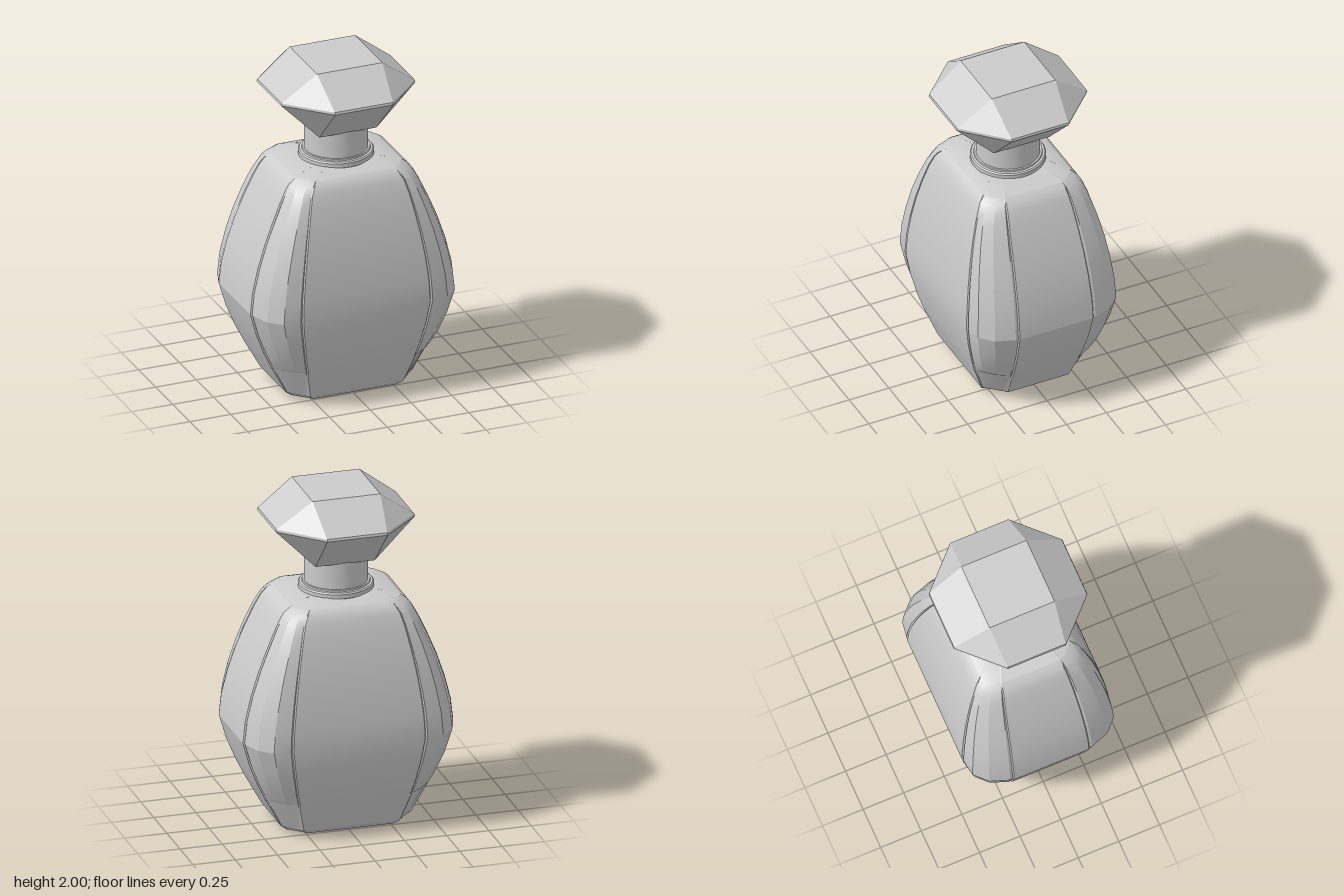
import * as THREE from 'three';
import { toCreasedNormals } from 'three/addons/utils/BufferGeometryUtils.js';
import { ConvexGeometry } from 'three/addons/geometries/ConvexGeometry.js';

const grey = new THREE.MeshStandardMaterial({ color: 0xcccccc, side: THREE.DoubleSide });

function add(group, name, geometry) {
  const mesh = new THREE.Mesh(geometry, grey);
  mesh.name = name;
  group.add(mesh);
}

// One horizontal section: four flat faces joined by bulging corner panels.
// X, Z: half width and depth; bulge: 0 flat chamfer, 1 full corner panel.
function section([y, X, Z, bulge]) {
  // half widths of the front and side faces follow the size of the section
  const w = Math.min(0.72 * X, 0.105 + 0.455 * X);
  const s = Math.min(0.66 * Z, 0.09 + 0.31 * Z);
  // seams beside the corner panels
  const groove = y > 0.22 && y < 1.35 ? 0.009 : 0;
  const mix = (flat, full) => flat + (full - flat) * bulge;
  const at = (u, v) => [w + (X - w) * u, s + (Z - s) * v];
  const quadrant = [
    [X, s],
    [X - groove, s + 0.006],
    at(mix(0.94, 0.97), mix(0.06, 0.1)),
    at(mix(0.67, 0.8), mix(0.33, 0.6)),
    at(mix(0.33, 0.48), mix(0.67, 0.92)),
    at(mix(0.06, 0.07), mix(0.94, 0.985)),
    [w + 0.006, Z - groove],
    [w, Z],
  ];
  const ring = [];
  for (const [sx, sz] of [[1, 1], [-1, 1], [-1, -1], [1, -1]]) {
    const part = sx * sz > 0 ? quadrant : [...quadrant].reverse();
    for (const [x, z] of part) ring.push([sx * x, y, sz * z]);
  }
  return ring;
}

// Skin a stack of rings from bottom to top
function loft(rings) {
  const n = rings[0].length, index = [];
  for (let i = 0; i < rings.length - 1; i++) {
    for (let j = 0; j < n; j++) {
      const a = i * n + j, b = i * n + (j + 1) % n;
      index.push(a, a + n, b, b, a + n, b + n);
    }
  }
  const geometry = new THREE.BufferGeometry();
  geometry.setAttribute('position', new THREE.Float32BufferAttribute(rings.flat(2), 3));
  geometry.setIndex(index);
  return toCreasedNormals(geometry, 0.3);
}

function bottleBody() {
  // recessed foot and lower slopes: y, X, Z, bulge
  const base = [
    [0.012, 0, 0, 0],
    [0.012, 0.26, 0.2, 0],
    [0, 0.27, 0.21, 0],
    [0.015, 0.345, 0.27, 0],
    [0.045, 0.385, 0.305, 0],
    [0.21, 0.475, 0.367, 0.25],
  ];
  // flanks with the corner panels
  const flanks = [
    [0.225, 0.483, 0.373, 0.25],
    [0.24, 0.49, 0.378, 0.5],
    [0.32, 0.53, 0.402, 0.75],
    [0.45, 0.582, 0.432, 0.92],
    [0.59, 0.622, 0.453, 1],
    [0.72, 0.608, 0.446, 1],
    [0.86, 0.574, 0.431, 1],
    [1, 0.528, 0.409, 1],
    [1.13, 0.475, 0.381, 1],
    [1.24, 0.425, 0.351, 0.95],
    [1.31, 0.388, 0.325, 0.8],
    [1.34, 0.366, 0.308, 0.6],
  ];
  // shoulder
  const shoulder = [
    [1.356, 0.346, 0.294, 0.5],
    [1.37, 0.325, 0.276, 0.5],
    [1.385, 0.27, 0.235, 0.4],
    [1.396, 0.2, 0.19, 0.4],
    [1.396, 0, 0, 0],
  ];
  return loft([base, flanks, shoulder].flatMap((rows) => rows.map(section)));
}

// Cut gem: square foot, octagonal girdle, square table
function gemStopper() {
  const points = [];
  for (const sx of [-1, 1]) {
    for (const sz of [-1, 1]) {
      const put = (x, y, z) => points.push(new THREE.Vector3(sx * x, y, sz * z));
      put(0.175, 1.59, 0.175);
      put(0.2, 2, 0.2);
      for (const [r, y] of [[0.412, 1.832], [0.408, 1.846]]) {
        put(r, y, 0.178);
        put(0.178, y, r);
      }
    }
  }
  return new ConvexGeometry(points);
}

function lathe(profile) {
  const points = profile.map(([r, y]) => new THREE.Vector2(r, y));
  return toCreasedNormals(new THREE.LatheGeometry(points, 64), 0.5);
}

export function createModel() {
  const model = new THREE.Group();
  model.name = 'bottle';
  add(model, 'body', bottleBody());
  add(model, 'collar', lathe([
    [0.17, 1.385], [0.208, 1.385], [0.215, 1.393], [0.215, 1.418],
    [0.208, 1.426], [0.195, 1.428], [0.193, 1.437], [0.175, 1.437],
  ]));
  add(model, 'neck', lathe([[0.182, 1.39], [0.182, 1.602], [0.174, 1.61], [0, 1.61]]));
  add(model, 'stopper', gemStopper());
  return model;
}
